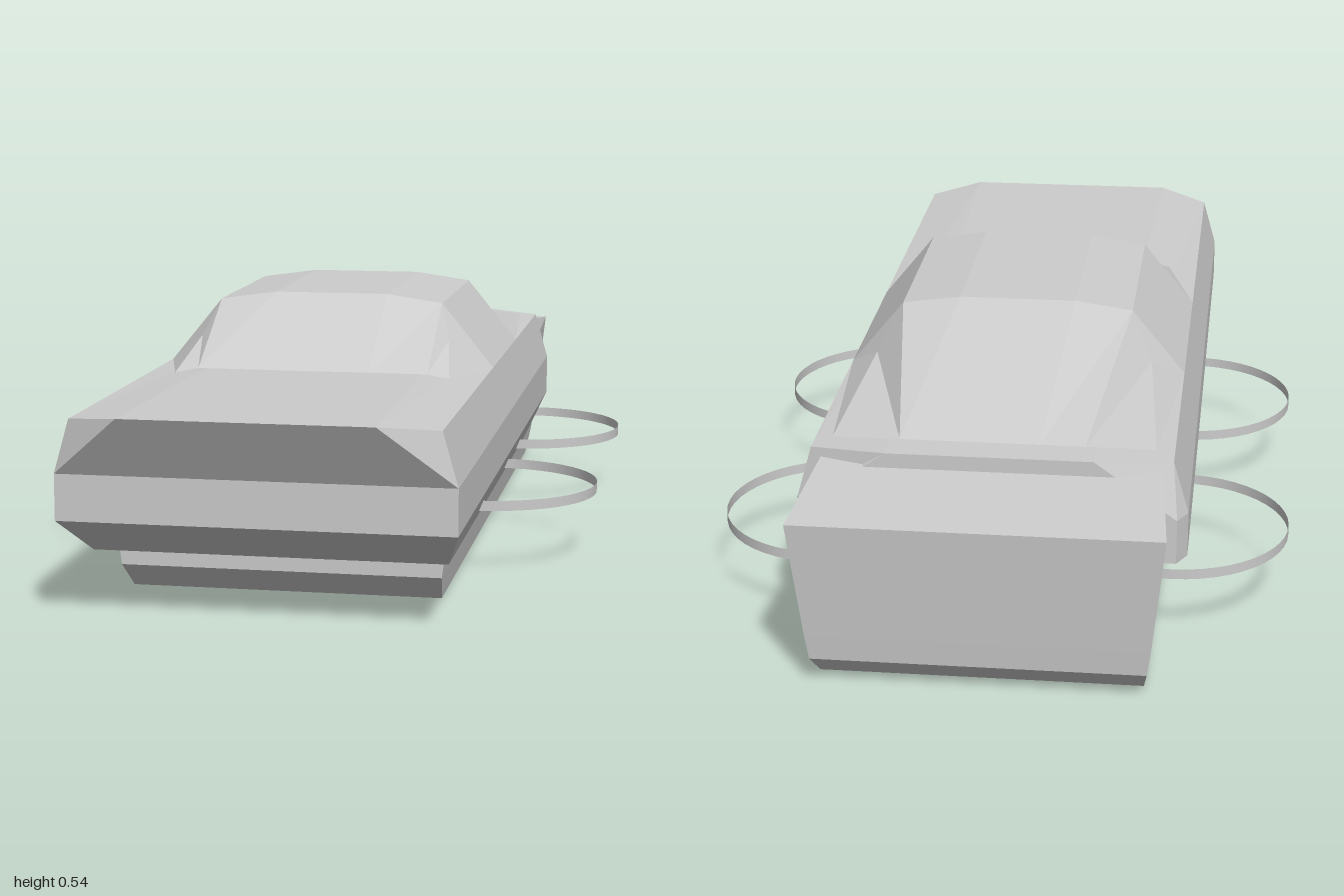
import * as THREE from 'three';

const grey = new THREE.MeshStandardMaterial({ color: 0xcccccc, side: THREE.DoubleSide });
grey.name = 'plain grey';

// Flat-shaded mesh from polygons given as corner loops
function facets(name, polygons) {
  const out = [];
  for (const p of polygons)
    for (let i = 1; i < p.length - 1; i++) out.push(...p[0], ...p[i], ...p[i + 1]);
  const geo = new THREE.BufferGeometry();
  geo.setAttribute('position', new THREE.Float32BufferAttribute(out, 3));
  geo.computeVertexNormals();
  const mesh = new THREE.Mesh(geo, grey);
  mesh.name = name;
  return mesh;
}

const flip = ([x, y, z]) => [-x, y, z];
const mirrored = (polys) => [...polys, ...polys.map((p) => p.map(flip).reverse())];

// Full ring from its left half, listed front to back
const ring = (half) => [...half, ...half.map(flip).reverse()];

// Walls between stacked rings
function walls(rings) {
  const polys = [];
  for (let k = 0; k < rings.length - 1; k++) {
    const a = rings[k], b = rings[k + 1];
    for (let i = 0; i < a.length; i++) {
      const j = (i + 1) % a.length;
      polys.push([a[i], a[j], b[j], b[i]]);
    }
  }
  return polys;
}

function createBody() {
  const band = (y) => [[0.24, y, 0.93], [0.38, y, 0.93], [0.38, y, -0.73], [0.36, y, -0.77]];
  const floor = [[0.24, 0.107, 0.8], [0.345, 0.107, 0.8], [0.345, 0.107, -0.53], [0.33, 0.107, -0.53]];
  const top = [[0.24, 0.4, 1], [0.35, 0.385, 0.93], [0.35, 0.385, -0.73], [0.2, 0.395, -0.77]];
  // Undercut nose: one flat panel with a corner triangle at each end
  const nose = [[-0.38, 0.28, 0.93], [0.38, 0.28, 0.93], [0.24, 0.4, 1], [-0.24, 0.4, 1]];
  const sides = mirrored([
    [[0.38, 0.28, 0.93], top[1], top[0]],
    [[0.38, 0.28, 0.93], [0.38, 0.28, -0.73], top[2], top[1]],
    [[0.38, 0.28, -0.73], [0.36, 0.28, -0.77], top[3], top[2]],
    top,
  ]);
  const rear = [[0.36, 0.28, -0.77], [-0.36, 0.28, -0.77], flip(top[3]), top[3]];
  const deck = [flip(top[0]), top[0], top[3], flip(top[3])];
  return facets('body', [
    ...walls([ring(floor), ring(band(0.19)), ring(band(0.28))]),
    ring(floor).reverse(), nose, ...sides, rear, deck,
  ]);
}

function createCabin() {
  const roofLine = (z) => [[-0.24, 0.52, z], [-0.12, 0.537, z], [0.12, 0.537, z], [0.24, 0.52, z]];
  const baseLine = (x, z) => [-x, -x / 2, x / 2, x].map((v) => [v, 0.4, z]);
  // Windscreen, roof and rear window as strips between cross lines
  const lines = [baseLine(0.24, 0.38), roofLine(0.165), roofLine(-0.27), baseLine(0.18, -0.71)];
  const polys = [];
  for (let k = 0; k < 3; k++)
    for (let i = 0; i < 3; i++)
      polys.push([lines[k][i], lines[k][i + 1], lines[k + 1][i + 1], lines[k + 1][i]]);

  // Side panels, with pointed fins at the front and rear pillars
  const shoulderF = [0.35, 0.385, 0.165], shoulderR = [0.35, 0.385, -0.27];
  const pillar = (roof, base, peak, tip, shoulder) => [
    [roof, base, peak], [base, tip, peak], [tip, shoulder, peak], [shoulder, roof, peak],
  ];
  const front = pillar(lines[1][3], lines[0][3], [0.265, 0.45, 0.24], [0.287, 0.391, 0.39], shoulderF);
  const back = pillar(lines[2][3], lines[3][3], [0.285, 0.435, -0.34], [0.315, 0.391, -0.69], shoulderR);
  polys.push(...mirrored([
    [lines[1][3], shoulderF, shoulderR, lines[2][3]],
    ...front.map((p) => p.slice().reverse()), ...back,
  ]));
  return facets('cabin', polys);
}

function createBase() {
  // Each level: half width, front y and z, rear y and z
  const rings = [
    [0.31, 0, 0.64, 0, -0.91, 0.31],
    [0.318, 0.055, 0.7, 0.055, -0.97, 0.318],
    [0.325, 0.107, 0.7, 0.107, -0.976, 0.325],
    [0.32, 0.38, -0.6, 0.345, -1, 0.35],
  ].map(([xf, yf, zf, yr, zr, xr]) => ring([[xf, yf, zf], [xr, yr, zr]]));
  return facets('base', [...walls(rings), rings[0].slice().reverse(), rings[3]]);
}

export function createModel() {
  const model = new THREE.Group();
  model.name = 'car';
  model.add(createBody(), createCabin(), createBase());

  // Thin wheel hoops lying flat, half inside the body
  const hoop = new THREE.CylinderGeometry(0.227, 0.227, 0.021, 48, 1, true);
  for (const [end, z] of [['front', 0.2], ['rear', -0.49]])
    for (const [side, s] of [['Left', 1], ['Right', -1]]) {
      const mesh = new THREE.Mesh(hoop, grey);
      mesh.name = `${end}${side}Hoop`;
      mesh.position.set(0.349 * s, 0.141, z);
      model.add(mesh);
    }
  return model;
}
